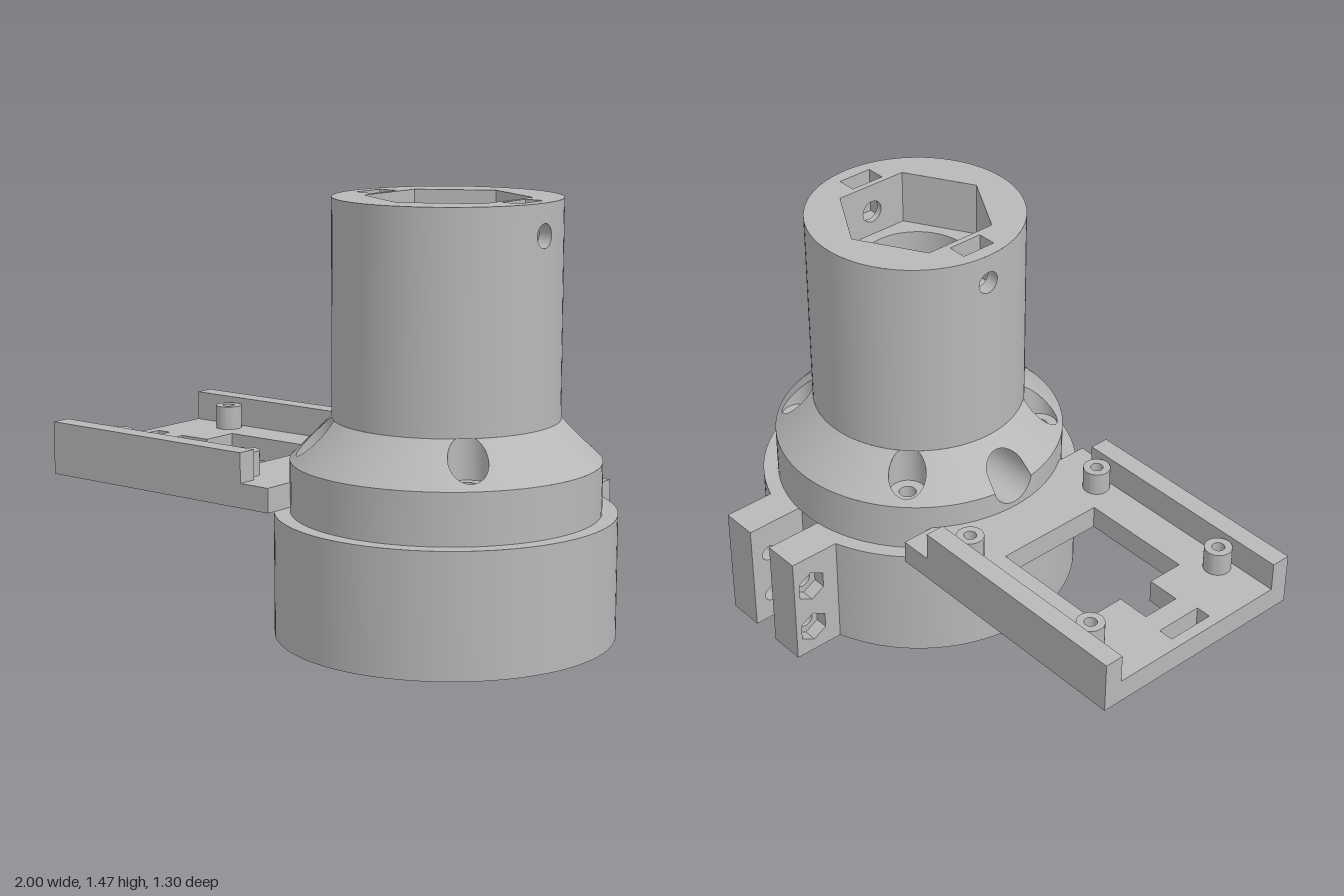
import * as THREE from 'three';
import { mergeGeometries, toCreasedNormals } from 'three/addons/utils/BufferGeometryUtils.js';

const PI = Math.PI;
const grey = new THREE.MeshStandardMaterial({ color: 0xb8b8b8, side: THREE.DoubleSide });
grey.name = 'grey plastic';

function add(parent, name, geo) {
  const mesh = new THREE.Mesh(geo, grey);
  mesh.name = name;
  parent.add(mesh);
  return mesh;
}

// Regular grid over f(u, v) -> [x, y, z], u and v in 0..1
function grid(f, nu, nv) {
  const pos = [], idx = [];
  for (let i = 0; i <= nu; i++) for (let j = 0; j <= nv; j++) pos.push(...f(i / nu, j / nv));
  for (let i = 0; i < nu; i++) for (let j = 0; j < nv; j++) {
    const a = i * (nv + 1) + j, b = a + nv + 1;
    idx.push(a, b, b + 1, a, b + 1, a + 1);
  }
  const g = new THREE.BufferGeometry();
  g.setAttribute('position', new THREE.Float32BufferAttribute(pos, 3));
  g.setIndex(idx);
  return g;
}

// Round wall of radius rOf(y) with openings; each opening spans lo..hi at angle a + d, |d| <= w
function band(rOf, y0, y1, holes = []) {
  const parts = [];
  const clamp = y => Math.min(y1, Math.max(y0, y));
  const strip = (angle, lo, hi, n) => parts.push(grid((u, v) => {
    const a = angle(u), y = lo(a) + (hi(a) - lo(a)) * v, r = rOf(y);
    return [r * Math.cos(a), y, -r * Math.sin(a)];
  }, n, 1));
  const plain = (a, b) => strip(u => a + (b - a) * u, () => y0, () => y1, Math.ceil((b - a) / 0.07));
  let start = -PI / 2;
  for (const h of holes) {
    plain(start, h.a - h.w);
    const angle = u => h.a - h.w * Math.cos(u * PI);
    strip(angle, () => y0, a => clamp(h.lo(a - h.a)), 24);
    strip(angle, a => clamp(h.hi(a - h.a)), () => y1, 24);
    start = h.a + h.w;
  }
  plain(start, 1.5 * PI);
  return toCreasedNormals(mergeGeometries(parts), 0.5);
}

// Opening left in a wall of radius r by a horizontal drilling
function drilled(a, r, y, rad) {
  const half = d => Math.sqrt(Math.max(0, rad * rad - (r * Math.sin(d)) ** 2));
  return { a, w: Math.asin(rad / r), lo: d => y - half(d), hi: d => y + half(d) };
}

const poly = pts => new THREE.Shape(pts.map(p => new THREE.Vector2(...p)));
const rect = (x0, x1, z0, z1) => poly([[x0, -z0], [x0, -z1], [x1, -z1], [x1, -z0]]);
const ngon = (x, y, r, n, turn = 0) => poly(Array.from({ length: n }, (_, i) => {
  const a = turn + i / n * 2 * PI;
  return [x + r * Math.cos(a), y + r * Math.sin(a)];
}));
const holed = (shape, holes) => { shape.holes.push(...holes); return shape; };
const extrude = (shape, depth) => toCreasedNormals(
  new THREE.ExtrudeGeometry(shape, { depth, bevelEnabled: false, curveSegments: 64 }), 0.5);
const layer = (shape, y0, y1) => extrude(shape, y1 - y0).rotateX(-PI / 2).translate(0, y0, 0);
const flat = (shape, y) => new THREE.ShapeGeometry(shape, 64).rotateX(-PI / 2).translate(0, y, 0);

// Upright rectangle, optionally pierced
function panel(w, h, holeY) {
  const s = poly([[-w / 2, 0], [w / 2, 0], [w / 2, h], [-w / 2, h]]);
  return new THREE.ShapeGeometry(holeY ? holed(s, [ngon(0, holeY, 0.04, 32)]) : s);
}

function createBody() {
  const g = new THREE.Group();
  g.name = 'body';
  g.position.set(0.425, 0, 0.075);
  const bolts = [-1, 1, 3, 5].map(k => k * PI / 4);
  const B = 0.435;
  const boltHoles = (r, n) => bolts.map(a => ngon(B * Math.cos(a), B * Math.sin(a), r, n));

  // Split clamp ring
  const ring = new THREE.Shape();
  const so = Math.asin(0.055 / 0.573), si = Math.asin(0.055 / 0.506);
  ring.absarc(0, 0, 0.573, PI / 2 + so, 2.5 * PI - so, false);
  ring.absarc(0, 0, 0.506, 2.5 * PI - si, PI / 2 + si, true);
  add(g, 'clampRing', layer(ring, 0, 0.42));

  // Socket ceiling with nut recesses
  add(g, 'socketCeiling', layer(holed(ngon(0, 0, 0.507, 96), [ngon(0, 0, 0.195, 64), ...boltHoles(0.048, 6)]), 0.31, 0.36));
  add(g, 'ceilingWeb', layer(holed(ngon(0, 0, 0.507, 96), [ngon(0, 0, 0.195, 64), ...boltHoles(0.03, 24)]), 0.36, 0.42));

  // Collar and cone, opened by the cable hole and the bolt recesses
  const coneR = y => 0.52 - (y - 0.595);
  const cableY = 0.61, cableR = 0.085, w = 0.162;
  const cable = drilled(PI, 0.52, cableY, cableR);
  add(g, 'collar', band(() => 0.52, 0.42, 0.595, [{ ...cable, w, hi: () => 0.595 }]));
  const cableTop = d => {
    let y = 0.65;
    for (let i = 0; i < 12; i++) y = cableY + Math.sqrt(Math.max(0, cableR ** 2 - (coneR(y) * Math.sin(d)) ** 2));
    return y;
  };
  const recess = a => {
    const root = d => Math.sqrt(Math.max(0, 0.065 ** 2 - (B * Math.sin(d)) ** 2));
    return {
      a, w: Math.asin(0.065 / B),
      lo: d => 1.115 - B * Math.cos(d) - root(d), hi: d => 1.115 - B * Math.cos(d) + root(d),
    };
  };
  add(g, 'cone', band(coneR, 0.595, 0.735,
    [...bolts.slice(0, 3).map(recess), { a: PI, w, lo: () => 0.595, hi: cableTop }, recess(bolts[3])]));
  add(g, 'cableHole', grid((u, v) => {
    const t = u * 2 * PI, y = cableY + cableR * Math.sin(t), z = cableR * Math.cos(t);
    const outer = Math.sqrt((y < 0.595 ? 0.52 : coneR(y)) ** 2 - z * z), inner = Math.sqrt(0.195 ** 2 - z * z);
    return [-(inner + (outer - inner) * v), y, z];
  }, 48, 1)).geometry.computeVertexNormals();

  // Bolt recesses: wall, seat and through hole
  for (const a of bolts) {
    const cx = B * Math.cos(a), cz = -B * Math.sin(a);
    const wall = grid((u, v) => {
      const x = cx + 0.065 * Math.cos(u * 2 * PI), z = cz - 0.065 * Math.sin(u * 2 * PI);
      return [x, 0.6 + (Math.min(0.735, 1.115 - Math.hypot(x, z)) - 0.6) * v, z];
    }, 40, 1);
    wall.computeVertexNormals();
    add(g, 'boltRecess', wall);
    add(g, 'boltSeat', new THREE.RingGeometry(0.03, 0.065, 40).rotateX(-PI / 2).translate(cx, 0.6, cz));
    add(g, 'boltHole', new THREE.CylinderGeometry(0.03, 0.03, 0.2, 24, 1, true).translate(cx, 0.5, cz));
  }

  // Upper tube and its bore
  const top = 1.465, floor = 1.27, pinY = 1.36, apothem = 0.238;
  add(g, 'tube', band(() => 0.38, 0.735, top, [drilled(0, 0.38, pinY, 0.04), drilled(PI, 0.38, pinY, 0.04)]));
  add(g, 'bore', band(() => 0.195, 0.31, floor, [drilled(PI, 0.195, cableY, cableR)]));
  const hex = () => ngon(0, 0, 0.275, 6, PI / 2);
  const slots = [rect(0.26, 0.33, -0.065, 0.065), rect(-0.33, -0.26, -0.065, 0.065)];
  add(g, 'tubeRim', flat(holed(ngon(0, 0, 0.38, 90), [hex(), ...slots]), top));
  add(g, 'hexFloor', flat(holed(hex(), [ngon(0, 0, 0.195, 64)]), floor));
  for (let k = 0; k < 6; k++) {
    add(g, 'hexWall', panel(0.275, top - floor, k % 3 ? 0 : pinY - floor)
      .translate(0, floor, -apothem).rotateY(k * PI / 3 + PI / 2));
  }

  // Nut slots and cross pin holes, one on each side
  for (const side of [0, PI]) {
    const s = new THREE.Group();
    s.name = 'nutSlot';
    s.rotation.y = side;
    const y = 1.3, h = top - y;
    add(s, 'slotInnerWall', panel(0.13, h, pinY - y).rotateY(PI / 2).translate(0.26, y, 0));
    add(s, 'slotOuterWall', panel(0.13, h, pinY - y).rotateY(-PI / 2).translate(0.33, y, 0));
    add(s, 'slotEnd', panel(0.07, h).translate(0.295, y, -0.065));
    add(s, 'slotEnd', panel(0.07, h).rotateY(PI).translate(0.295, y, 0.065));
    add(s, 'slotFloor', flat(rect(0.26, 0.33, -0.065, 0.065), y));
    for (const [x0, x1] of [[apothem, 0.26], [0.33, 0.38]]) {
      const pin = grid((u, v) => {
        const z = 0.04 * Math.cos(u * 2 * PI);
        const end = x1 === 0.38 ? Math.sqrt(x1 * x1 - z * z) : x1;
        return [x0 + (end - x0) * v, pinY + 0.04 * Math.sin(u * 2 * PI), z];
      }, 32, 1);
      pin.computeVertexNormals();
      add(s, 'pinHole', pin);
    }
    g.add(s);
  }
  return g;
}

// Clamp ears: each is an inner slab and an outer slab with wider recesses
function createEars() {
  const g = new THREE.Group();
  g.name = 'clampEars';
  const slab = (x0, x1, r, n) => extrude(holed(poly([[0.46, 0], [0.655, 0], [0.655, 0.42], [0.46, 0.42]]),
    [0.105, 0.29].map(y => ngon(0.58, y, r, n, PI / 2))), x1 - x0).rotateY(PI / 2).translate(x0, 0, 0);
  add(g, 'earBoltSide', slab(0.565, 0.615, 0.054, 32));
  add(g, 'earBoltSideInner', slab(0.48, 0.565, 0.03, 32));
  add(g, 'earNutSide', slab(0.235, 0.285, 0.06, 6));
  add(g, 'earNutSideInner', slab(0.285, 0.37, 0.03, 32));
  return g;
}

// Side tray for a circuit board
function createTray() {
  const g = new THREE.Group();
  g.name = 'tray';
  const posts = [-0.795, -0.2].flatMap(x => [-0.22, 0.37].map(z => [x, -z]));
  const windowCut = poly([[-0.705, 0.135], [-0.285, 0.135], [-0.285, -0.28], [-0.705, -0.28],
    [-0.705, -0.145], [-0.825, -0.145], [-0.825, -0.005], [-0.705, -0.005]]);
  add(g, 'trayFloor', layer(holed(rect(-1, 0, -0.345, 0.49),
    [windowCut, rect(-0.96, -0.905, -0.01, 0.165), ...posts.map(([x, y]) => ngon(x, y, 0.022, 24))]), 0.42, 0.505));
  for (const z of [-0.345, 0.42]) add(g, 'trayRail', layer(rect(-1, -0.12, z, z + 0.07), 0.505, 0.61));
  for (const [x, y] of posts) add(g, 'standoff', layer(holed(ngon(x, y, 0.048, 32), [ngon(x, y, 0.022, 24)]), 0.505, 0.59));
  return g;
}

export function createModel() {
  const model = new THREE.Group();
  model.name = 'tubeClampMount';
  model.add(createBody(), createEars(), createTray());
  return model;
}
